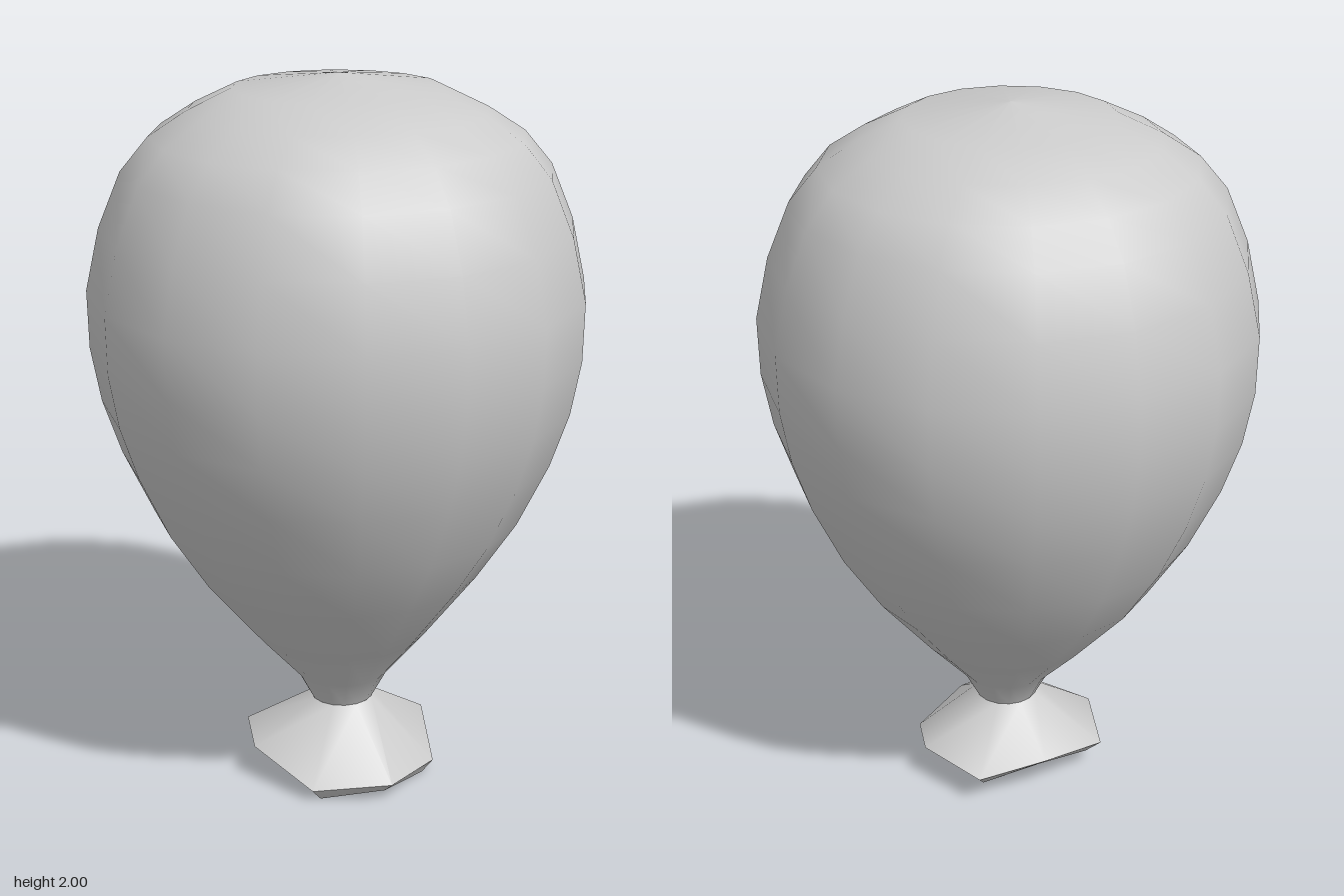
import * as THREE from 'three';
import { toCreasedNormals } from 'three/addons/utils/BufferGeometryUtils.js';

const material = new THREE.MeshStandardMaterial({ color: 0xcccccc });

// Inflated body: 16-sided lathe, its neck leaning slightly forward
function createBody() {
  const profile = [
    [0.088, 0.22], [0.13, 0.3], [0.245, 0.43], [0.4, 0.62], [0.51, 0.79],
    [0.595, 0.97], [0.645, 1.12], [0.672, 1.27], [0.675, 1.43], [0.637, 1.6],
    [0.575, 1.75], [0.5, 1.84], [0.4, 1.905], [0.28, 1.963], [0, 2],
  ].map(([r, y]) => new THREE.Vector2(r, y));
  const geometry = new THREE.LatheGeometry(profile, 16);
  const p = geometry.attributes.position;
  for (let i = 0; i < p.count; i++) {
    const lean = THREE.MathUtils.clamp((0.62 - p.getY(i)) / 0.32, 0, 1);
    p.setZ(i, p.getZ(i) + 0.024 * lean);
  }
  const body = new THREE.Mesh(geometry, material);
  body.name = 'balloonBody';
  return body;
}

// Mirrors a half ring (front to back, on +x) into a closed ring of eight points
function mirrorRing(half) {
  const other = half.slice(1, -1).reverse().map(([x, y, z]) => [-x, y, z]);
  return [...half, ...other];
}

// Flared skirt below the knot: neck, uneven rim, thin lip and closed underside
function createSkirt() {
  const neck = [];
  for (let i = 0; i < 8; i++) {
    const a = (i / 8) * Math.PI * 2;
    neck.push([Math.sin(a) * 0.088, 0.22, Math.cos(a) * 0.088 + 0.024]);
  }
  const rim = mirrorRing([
    [0, 0.06, 0.32], [0.195, 0.04, 0.215], [0.275, 0.105, 0.01],
    [0.2, 0.09, -0.19], [0, 0.105, -0.215],
  ]);
  const lip = mirrorRing([
    [0, 0.025, 0.28], [0.165, 0.005, 0.205], [0.235, 0.08, 0.01],
    [0.17, 0.05, -0.155], [0, 0.075, -0.18],
  ]);
  const centre = Array.from({ length: 8 }, () => [0, 0.075, 0.03]);
  const rings = [neck, rim, lip, centre];

  const index = [];
  for (let r = 0; r < 3; r++) {
    for (let i = 0; i < 8; i++) {
      const j = (i + 1) % 8;
      const a = r * 8 + i, b = r * 8 + j;
      index.push(a, a + 8, b);
      if (r < 2) index.push(b, a + 8, b + 8);
    }
  }
  const geometry = new THREE.BufferGeometry();
  geometry.setAttribute('position', new THREE.Float32BufferAttribute(rings.flat(2), 3));
  geometry.setIndex(index);
  const skirt = new THREE.Mesh(toCreasedNormals(geometry, 0.75), material);
  skirt.name = 'knotSkirt';
  return skirt;
}

export function createModel() {
  const group = new THREE.Group();
  group.name = 'balloon';
  group.add(createBody(), createSkirt());
  return group;
}
